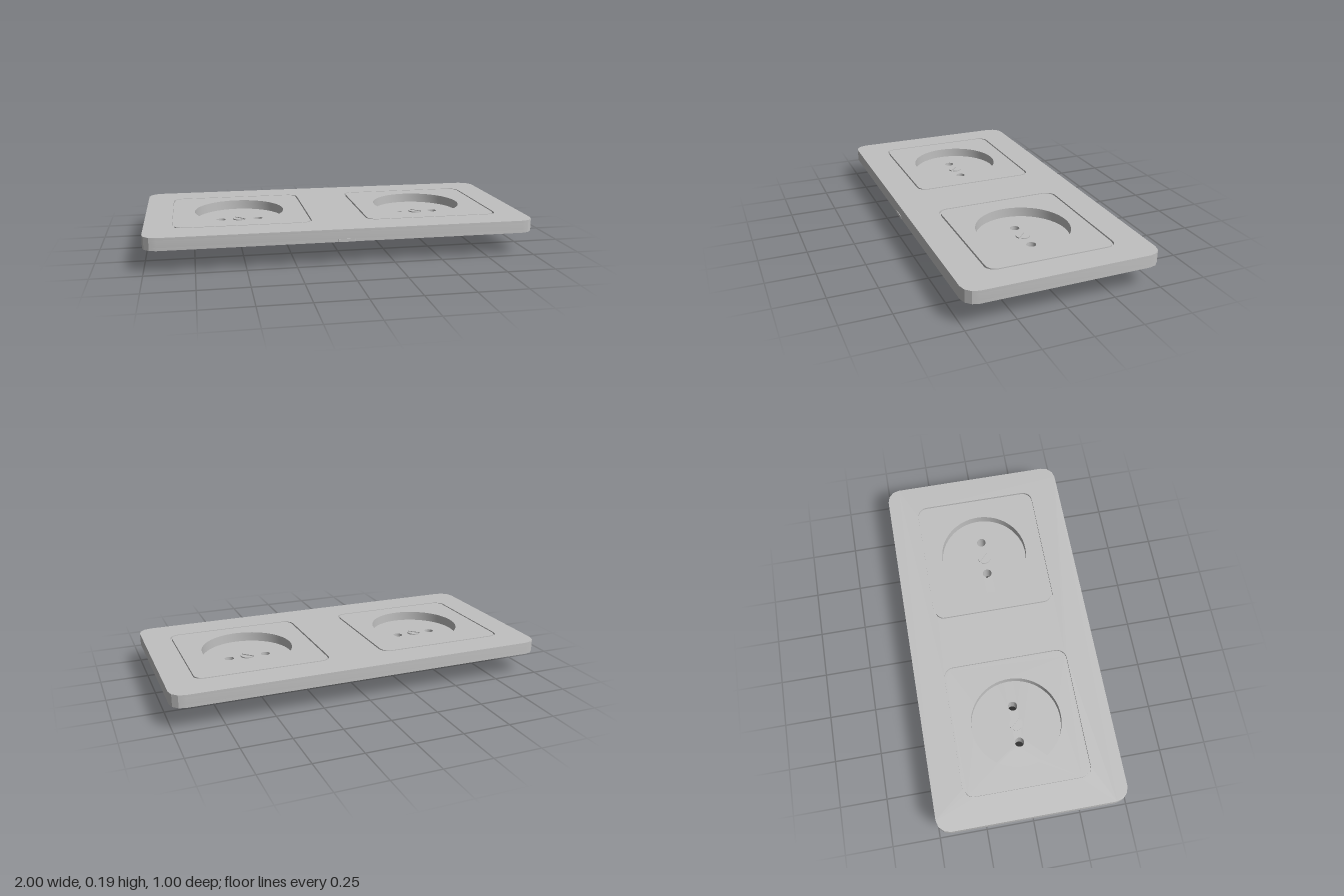
import * as THREE from 'three';
import { toCreasedNormals } from 'three/addons/utils/BufferGeometryUtils.js';

const grey = new THREE.MeshStandardMaterial({ color: 0xc0c0c0 });
grey.name = 'greyPlastic';
const black = new THREE.MeshStandardMaterial({ color: 0x050505 });
black.name = 'blackContact';

const Z = -0.004; // socket centre line
const PINS = [-0.1, 0.1];

// Outlines lie in plan: shape x = x, shape y = -z
function roundRect(cx, cz, hw, hd, r, seg) {
  const pts = [];
  [[1, 1], [-1, 1], [-1, -1], [1, -1]].forEach(([sx, sy], q) => {
    for (let i = 0; i <= seg; i++) {
      const a = (q + i / seg) * Math.PI / 2;
      pts.push(new THREE.Vector2(cx + sx * (hw - r) + r * Math.cos(a), -cz + sy * (hd - r) + r * Math.sin(a)));
    }
  });
  return pts;
}

function arc(cx, cz, r, n, from = 0, to = Math.PI * 2) {
  const full = to - from > 6.28;
  return Array.from({ length: full ? n : n + 1 }, (_, i) => {
    const a = from + (to - from) * i / n;
    return new THREE.Vector2(cx + r * Math.cos(a), -cz + r * Math.sin(a));
  });
}

// Horizontal slab from an outline with holes
function slab(name, outline, holes, y0, y1) {
  const shape = new THREE.Shape(outline);
  shape.holes = holes.map(h => new THREE.Path(h));
  const geo = new THREE.ExtrudeGeometry(shape, { depth: y1 - y0, bevelEnabled: false });
  geo.rotateX(-Math.PI / 2).translate(0, y0, 0);
  const mesh = new THREE.Mesh(toCreasedNormals(geo, 0.45), grey);
  mesh.name = name;
  return mesh;
}

// Housing with an open top, one slanted side and a black underside
function wedge(side) {
  const y0 = 0.035, y1 = 0.12;
  const geo = new THREE.BoxGeometry(1, y1 - y0, 0.14);
  const p = geo.attributes.position;
  for (let i = 0; i < p.count; i++) {
    const outer = p.getX(i) * side > 0;
    const inner = p.getY(i) > 0 ? 0.07 : 0.04;
    p.setX(i, 0.5 + side * (outer ? 0.212 : inner));
  }
  geo.translate(0, (y0 + y1) / 2, 0);
  const index = Array.from(geo.index.array);
  geo.setIndex([...index.slice(0, 12), ...index.slice(18)]);
  geo.clearGroups();
  geo.addGroup(0, 12, 0);
  geo.addGroup(12, 6, 1);
  geo.addGroup(18, 12, 0);
  geo.computeVertexNormals();
  const mesh = new THREE.Mesh(geo, [grey, black]);
  mesh.name = 'contactHousing';
  return mesh;
}

export function createModel() {
  const model = new THREE.Group();
  model.name = 'doubleSocket';
  const sockets = [-0.5, 0.5];
  const plate = roundRect(0, -0.002, 1, 0.498, 0.07, 3);
  const recesses = () => sockets.map(x => arc(x, Z, 0.24, 64));
  const pinHoles = x => PINS.map(d => arc(x + d, Z, 0.025, 16));

  // Cover plate: floor with pin holes, body with recesses, rim with grooves
  model.add(slab('recessFloor', plate, sockets.flatMap(pinHoles), 0.12, 0.135));
  model.add(slab('plateBody', plate, recesses(), 0.135, 0.173));
  model.add(slab('plateFrame', plate, sockets.map(x => roundRect(x, Z, 0.357, 0.337, 0.055, 6)), 0.173, 0.185));

  // Small pry tab on the front edge
  model.add(slab('pryTab', [[-0.05, -0.49], [-0.04, -0.499], [0.04, -0.499], [0.05, -0.49]]
    .map(a => new THREE.Vector2(...a)), [], 0.12, 0.135));

  for (const x of sockets) {
    const socket = new THREE.Group();
    socket.name = x < 0 ? 'rightSocket' : 'leftSocket';
    socket.add(slab('socketInsert', roundRect(x, Z, 0.348, 0.328, 0.047, 6), [arc(x, Z, 0.24, 64)], 0.173, 0.185));

    // Slotted screw: two head halves either side of a diagonal slot
    const tilt = -Math.PI / 4;
    for (const turn of [0, Math.PI]) {
      socket.add(slab('screwHead', arc(x, Z, 0.036, 14, tilt + turn + 0.16, tilt + turn + Math.PI - 0.16), [], 0.135, 0.141));
    }
    socket.add(slab('screwShaft', arc(x, Z, 0.025, 16), [], 0.112, 0.121));

    // Dark ends of the pin holes
    for (const d of PINS) {
      const end = new THREE.Mesh(new THREE.CircleGeometry(0.0255, 16), black);
      end.name = 'pinHoleEnd';
      end.rotation.x = -Math.PI / 2;
      end.position.set(x + d, 0.038, Z);
      socket.add(end);
    }
    model.add(socket);
  }

  // Solid housing under the right socket, with one cut corner
  const block = [[-0.72, -0.07], [-0.295, -0.07], [-0.295, 0.07], [-0.745, 0.07], [-0.745, -0.05]]
    .map(a => new THREE.Vector2(...a));
  model.add(slab('blockHousing', block, pinHoles(-0.5), 0.03, 0.12));
  model.add(slab('blockBase', block, [], 0, 0.03));

  // Split housing under the left socket, with tubes for the pins
  const tubeMat = grey.clone();
  tubeMat.name = 'greyPlasticInside';
  tubeMat.side = THREE.DoubleSide;
  for (const side of [-1, 1]) {
    model.add(wedge(side));
    const tube = new THREE.Mesh(new THREE.CylinderGeometry(0.025, 0.025, 0.084, 16, 1, true), tubeMat);
    tube.name = 'pinTube';
    tube.position.set(0.5 + side * 0.1, 0.079, Z);
    model.add(tube);
  }

  // Thin pad on the underside
  model.add(slab('undersidePad', arc(-0.5, -0.21, 0.06, 24), [], 0.117, 0.1205));
  return model;
}
